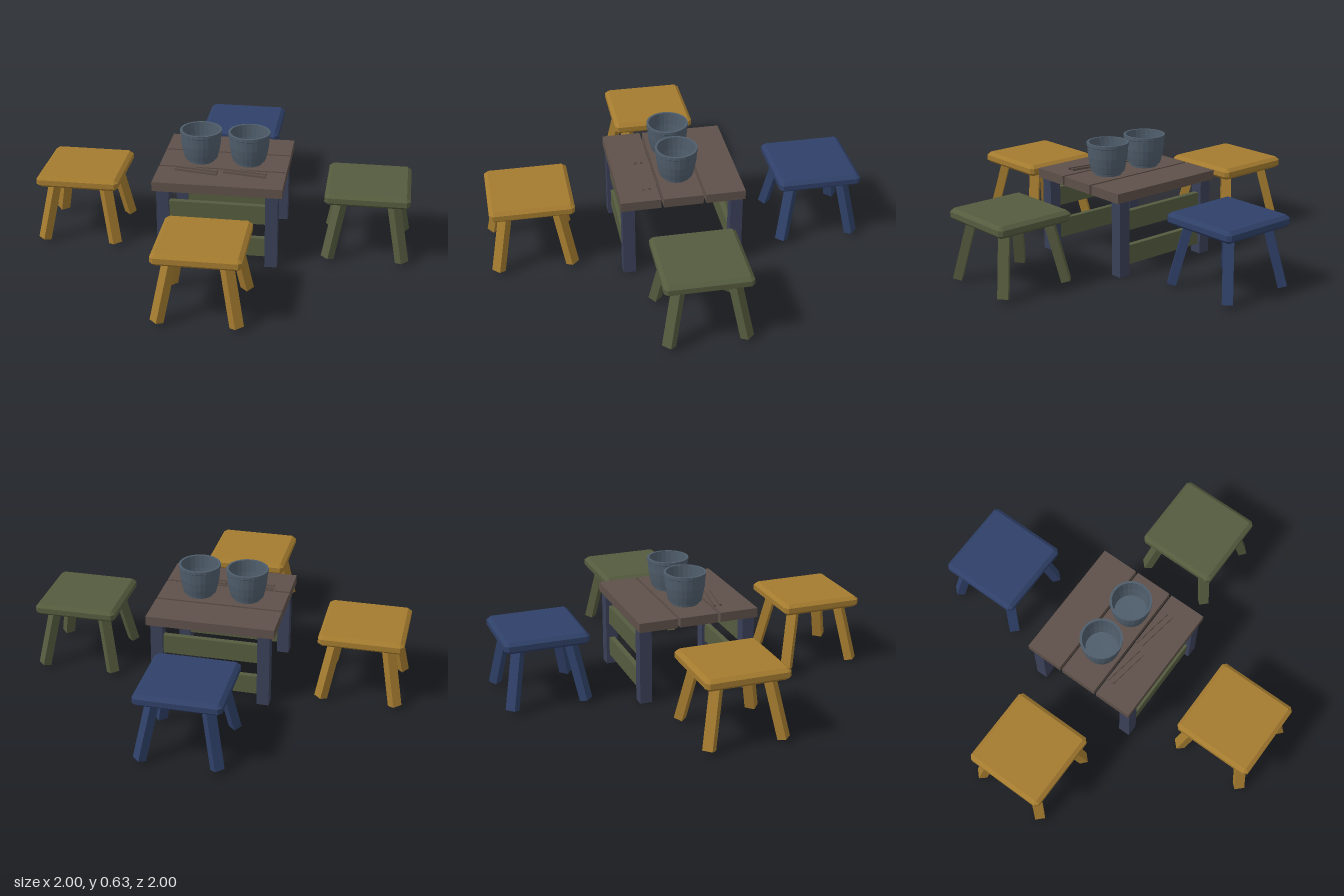
import * as THREE from 'three';

const mat = (name, color, extra = {}) => {
  const m = new THREE.MeshStandardMaterial({ color, flatShading: true, ...extra });
  m.name = name;
  return m;
};

export function createModel() {
  const root = new THREE.Group();
  root.name = 'tableWithStools';

  const gold = mat('goldPaint', 0xa47b2f);
  const green = mat('greenPaint', 0x555b3e);
  const blue = mat('bluePaint', 0x2f4068);
  const wood = mat('brownWood', 0x5e5049);
  const slate = mat('slatePaint', 0x3a4058);
  const clay = mat('greyClay', 0x4f5d6b);

  const add = (parent, name, geometry, material, x = 0, y = 0, z = 0) => {
    const mesh = new THREE.Mesh(geometry, material);
    mesh.name = name;
    mesh.position.set(x, y, z);
    parent.add(mesh);
    return mesh;
  };

  // Table: three planks, four posts, two rails at front and back
  const table = new THREE.Group();
  table.name = 'table';
  root.add(table);
  const plank = new THREE.BoxGeometry(0.68, 0.05, 0.208);
  for (const z of [-0.222, 0, 0.222]) add(table, 'tablePlank', plank, wood, 0, 0.43, z);
  const post = new THREE.BoxGeometry(0.065, 0.406, 0.065);
  const rail = new THREE.BoxGeometry(0.52, 0.103, 0.03);
  for (const sz of [-1, 1]) {
    for (const sx of [-1, 1]) add(table, 'tableLeg', post, slate, sx * 0.285, 0.203, sz * 0.285);
    for (const y of [0.104, 0.29]) add(table, 'tableRail', rail, green, 0, y, sz * 0.285);
  }

  // Stool seat: square with clipped corners and a bevelled rim
  const h = 0.202, c = 0.196;
  const outline = new THREE.Shape(
    [[h, -c], [h, c], [c, h], [-c, h], [-h, c], [-h, -c], [-c, -h], [c, -h]]
      .map(([x, y]) => new THREE.Vector2(x, y)));
  const seat = new THREE.ExtrudeGeometry(outline, {
    depth: 0.028, bevelThickness: 0.017, bevelSize: 0.02, bevelSegments: 1,
  });
  seat.rotateX(-Math.PI / 2);

  // Stool leg: leans outward along the seat diagonal
  const leg = new THREE.BoxGeometry(0.046, 0.335, 0.054);
  leg.rotateZ(0.26);
  leg.translate(0.234, 0.18, 0);

  const d = 0.77;
  const stools = [
    ['leftStool', green, d, 0], ['rightStool', gold, -d, 0],
    ['frontStool', gold, 0, d], ['backStool', blue, 0, -d],
  ];
  for (const [name, paint, x, z] of stools) {
    const stool = new THREE.Group();
    stool.name = name;
    stool.position.set(x, 0, z);
    root.add(stool);
    add(stool, 'seat', seat, paint, 0, 0.347, 0);
    for (let i = 0; i < 4; i++) {
      add(stool, 'stoolLeg', leg, paint).rotation.y = Math.PI / 4 + i * Math.PI / 2;
    }
  }

  // Bowls: one closed turned profile, outside then inside
  const profile = [
    [0, 0.455], [0.072, 0.455], [0.074, 0.468], [0.088, 0.474], [0.097, 0.51],
    [0.105, 0.555], [0.109, 0.61], [0.112, 0.613], [0.112, 0.63],
    [0.1, 0.63], [0.096, 0.56], [0.086, 0.495], [0, 0.49],
  ].map(([r, y]) => new THREE.Vector2(r, y));
  const bowl = new THREE.LatheGeometry(profile, 24);

  // Chopsticks: thin, slightly angled pairs in front of each bowl
  const stick = new THREE.BoxGeometry(0.232, 0.012, 0.012);
  for (const x of [-0.131, 0.128]) {
    add(root, 'bowl', bowl, clay, x, 0, 0);
    for (const z of [0.143, 0.175]) {
      add(root, 'chopstick', stick, wood, x - 0.002, 0.461, z).rotation.y = -0.16;
    }
  }
  return root;
}
